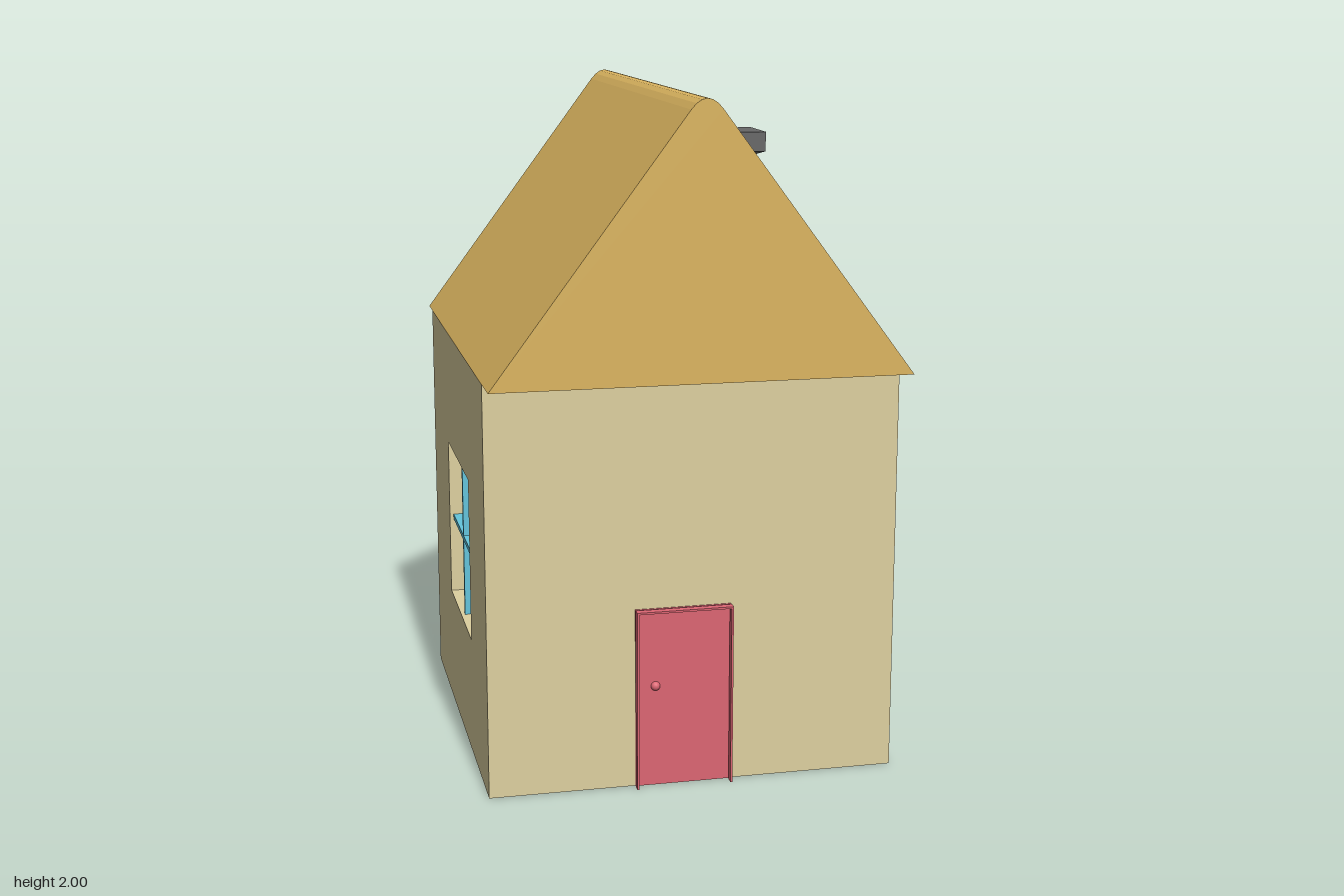
import * as THREE from 'three';

const mat = (name, color, extra = {}) => Object.assign(new THREE.MeshStandardMaterial({ color, ...extra }), { name });

export function createModel() {
  const wallMat = mat('sand wall', 0xddd0a0);
  const roofMat = mat('golden roof', 0xdcb560, { side: THREE.DoubleSide });
  const doorMat = mat('red door', 0xdc6673);
  const glassMat = mat('blue window', 0x64c5dc);
  const chimneyMat = mat('grey chimney', 0x676767, { flatShading: true });

  const model = new THREE.Group();
  const add = (name, geometry, material, x = 0, y = 0, z = 0, parent = model) => {
    const mesh = new THREE.Mesh(geometry, material);
    mesh.name = name;
    mesh.position.set(x, y, z);
    parent.add(mesh);
    return mesh;
  };
  const box = (w, h, d) => new THREE.BoxGeometry(w, h, d);
  const rect = (target, x0, y0, x1, y1) => {
    target.moveTo(x0, y0).lineTo(x1, y0).lineTo(x1, y1).lineTo(x0, y1).closePath();
    return target;
  };

  const W = 0.605, EAVE = 1.22, FRONT = 0.59, BACK = -0.625, REVEAL = 0.067;
  const core = W - REVEAL;

  // House body: solid core, plus side walls pierced by the window openings
  add('houseBody', box(core * 2, EAVE, FRONT - BACK), wallMat, 0, EAVE / 2, (FRONT + BACK) / 2);
  const side = rect(new THREE.Shape(), -FRONT, 0, -BACK, EAVE);
  side.holes.push(rect(new THREE.Path(), -0.245, 0.365, 0.245, 0.86));
  const sideGeo = new THREE.ExtrudeGeometry(side, { depth: REVEAL, bevelEnabled: false });
  sideGeo.rotateY(Math.PI / 2);
  add('leftWall', sideGeo, wallMat, core);
  add('rightWall', sideGeo, wallMat, -W);

  // Windows: recessed pane with a cross of deep, narrow bars
  for (const s of [1, -1]) {
    const win = new THREE.Group();
    win.name = s > 0 ? 'leftWindow' : 'rightWindow';
    win.position.set(s * core, 0.6125, 0);
    model.add(win);
    add('pane', box(0.006, 0.495, 0.49), glassMat, s * 0.003, 0, 0, win);
    add('verticalBar', box(0.055, 0.495, 0.016), glassMat, s * 0.0275, 0, 0, win);
    add('horizontalBar', box(0.055, 0.016, 0.49), glassMat, s * 0.0275, 0, 0, win);
  }

  // Roof: gabled prism with a rounded ridge, open underneath
  const gable = new THREE.Shape();
  gable.moveTo(-W, EAVE).lineTo(W, EAVE).lineTo(0.045, 1.97);
  gable.quadraticCurveTo(0, 2.03, -0.045, 1.97);
  gable.closePath();
  const roof = new THREE.ExtrudeGeometry(gable, { depth: 1.43, bevelEnabled: false, curveSegments: 6 });
  const p = roof.attributes.position, kept = [];
  for (let i = 0; i < p.count; i += 3) {
    const isUnderside = [0, 1, 2].every((k) => Math.abs(p.getY(i + k) - EAVE) < 1e-4);
    if (!isUnderside) kept.push(i, i + 1, i + 2);
  }
  roof.clearGroups();
  roof.setIndex(kept);
  add('roof', roof, roofMat, 0, 0, -0.715);

  // Chimney: shaft through the roof, flared collar and square cap
  const chimney = new THREE.Group();
  chimney.name = 'chimney';
  chimney.position.set(0.345, 0, -0.355);
  model.add(chimney);
  add('shaft', box(0.085, 0.46, 0.09), chimneyMat, 0, 1.51, 0, chimney);
  const collar = new THREE.CylinderGeometry(0.185 * Math.SQRT1_2, 0.09 * Math.SQRT1_2, 0.02, 4);
  collar.rotateY(Math.PI / 4);
  add('collar', collar, chimneyMat, 0, 1.75, 0, chimney);
  add('cap', box(0.182, 0.062, 0.188), chimneyMat, 0, 1.791, 0, chimney);

  // Door: panel on the wall, slim raised surround and round knob
  const door = new THREE.Group();
  door.name = 'door';
  door.position.x = -0.0325;
  model.add(door);
  add('doorPanel', box(0.283, 0.54, 0.006), doorMat, 0, 0.27, FRONT, door);
  for (const s of [1, -1]) {
    add('doorPost', box(0.006, 0.54, 0.024), doorMat, s * 0.1395, 0.27, 0.612, door);
  }
  add('doorLintel', box(0.283, 0.006, 0.024), doorMat, 0, 0.537, 0.612, door);
  add('doorKnob', new THREE.SphereGeometry(0.014, 16, 12), doorMat, -0.0825, 0.305, 0.592, door);

  return model;
}
